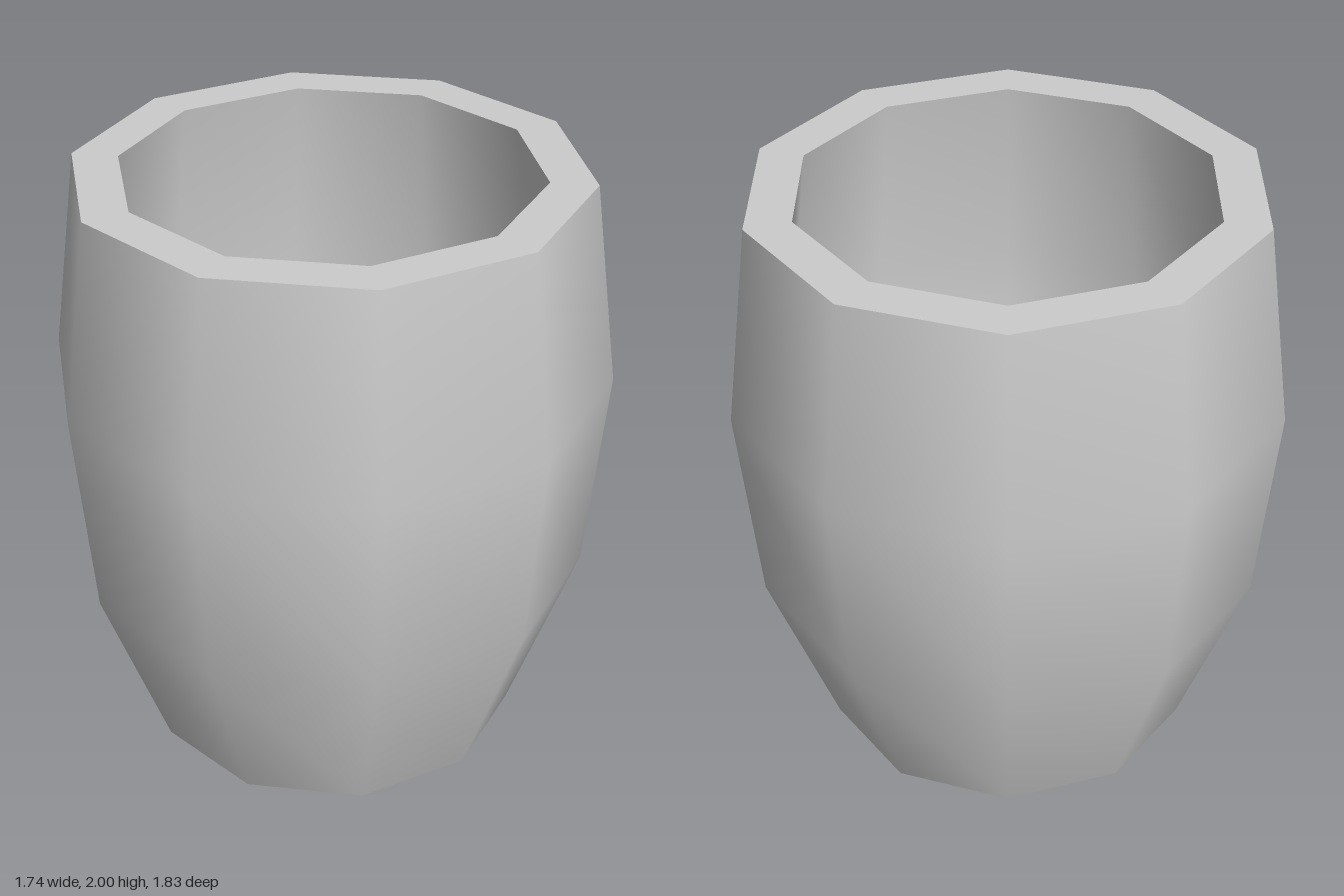
import * as THREE from 'three';

const SIDES = 10;

export function createModel() {
  const cup = new THREE.Group();
  cup.name = 'cup';
  const material = new THREE.MeshStandardMaterial({ color: 0xcccccc });

  // Each part is a ten-sided lathe; separate parts keep the rim and base edges sharp
  const addPart = (name, profile) => {
    const points = profile.map(([r, y]) => new THREE.Vector2(r, y));
    const mesh = new THREE.Mesh(new THREE.LatheGeometry(points, SIDES), material);
    mesh.name = name;
    cup.add(mesh);
  };

  // Flat underside
  addPart('base', [[0, 0], [0.63, 0]]);
  // Bulging outside wall
  addPart('outerWall', [[0.63, 0], [0.855, 0.63], [0.915, 1.33], [0.825, 2]]);
  // Flat ring at the top
  addPart('rim', [[0.825, 2], [0.675, 2]]);
  // Hollow inside, running smoothly into the floor
  addPart('innerWall', [[0.675, 2], [0.76, 1.33], [0.7, 0.66], [0.49, 0.18], [0, 0.16]]);

  return cup;
}
